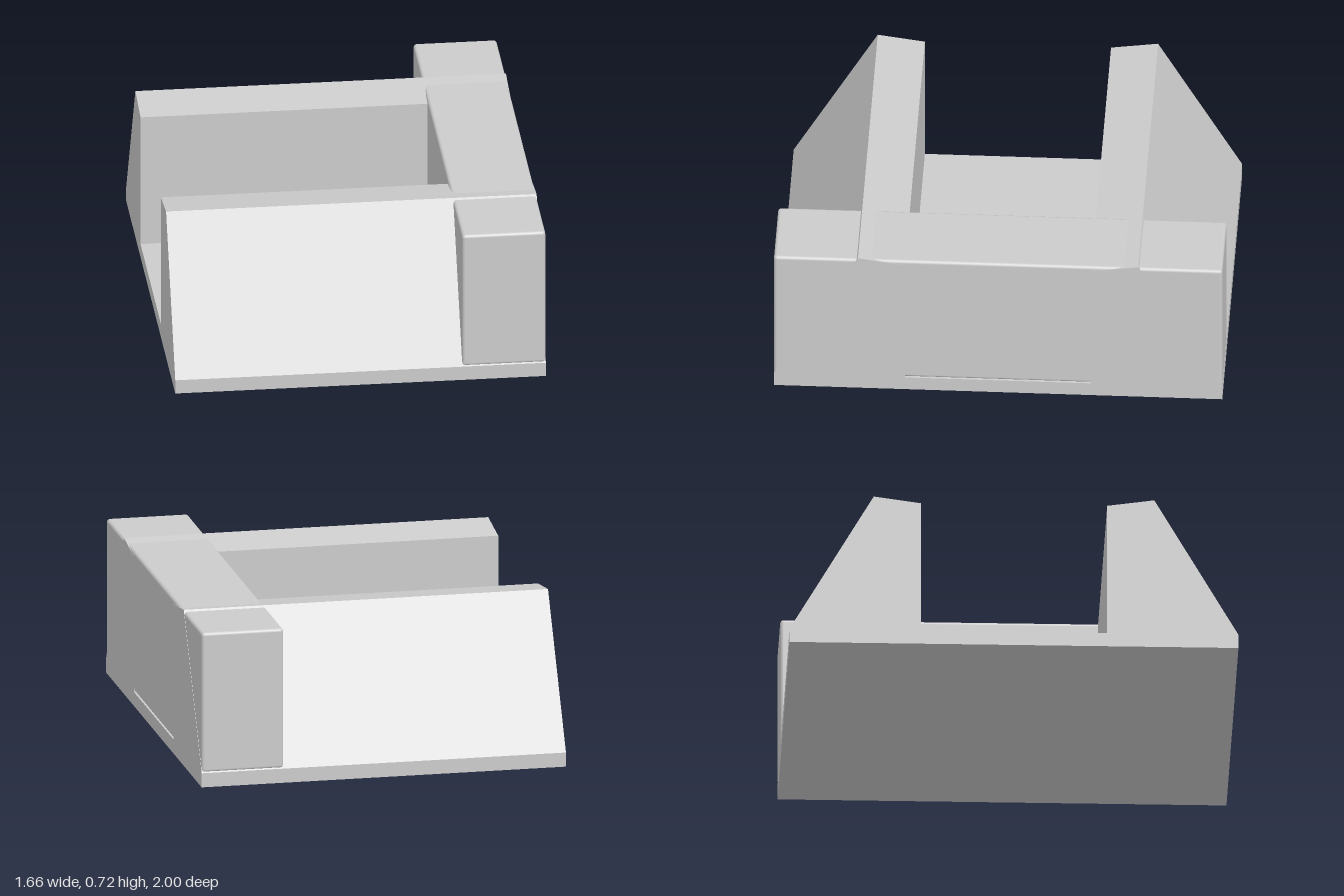
import * as THREE from 'three';
import { RoundedBoxGeometry } from 'three/addons/geometries/RoundedBoxGeometry.js';

export function createModel() {
  const model = new THREE.Group();
  model.name = 'channelBlock';
  const grey = new THREE.MeshStandardMaterial({ color: 0xcccccc });
  grey.name = 'lightGrey';

  // Base slab with two sloped walls: one half profile (z, y), mirrored
  const half = [[1, 0], [1, 0.065], [0.625, 0.72], [0.415, 0.69], [0.415, 0.065]];
  const mirrored = half.map(([z, y]) => [-z, y]).reverse();
  const profile = new THREE.Shape([...half, ...mirrored].map(([z, y]) => new THREE.Vector2(z, y)));
  const width = 1.66;
  const bodyGeometry = new THREE.ExtrudeGeometry(profile, { depth: width, bevelEnabled: false });
  bodyGeometry.translate(0, 0, -width / 2);
  bodyGeometry.rotateY(-Math.PI / 2); // extrusion runs along x
  const body = new THREE.Mesh(bodyGeometry, grey);
  body.name = 'baseWithSlopedWalls';
  model.add(body);

  // Rounded bar crossing both walls at the left end
  const bar = new THREE.Mesh(new RoundedBoxGeometry(0.373, 0.645, 2, 4, 0.015), grey);
  bar.name = 'crossBar';
  bar.position.set(0.6425, 0.3885, 0);
  model.add(bar);

  return model;
}
